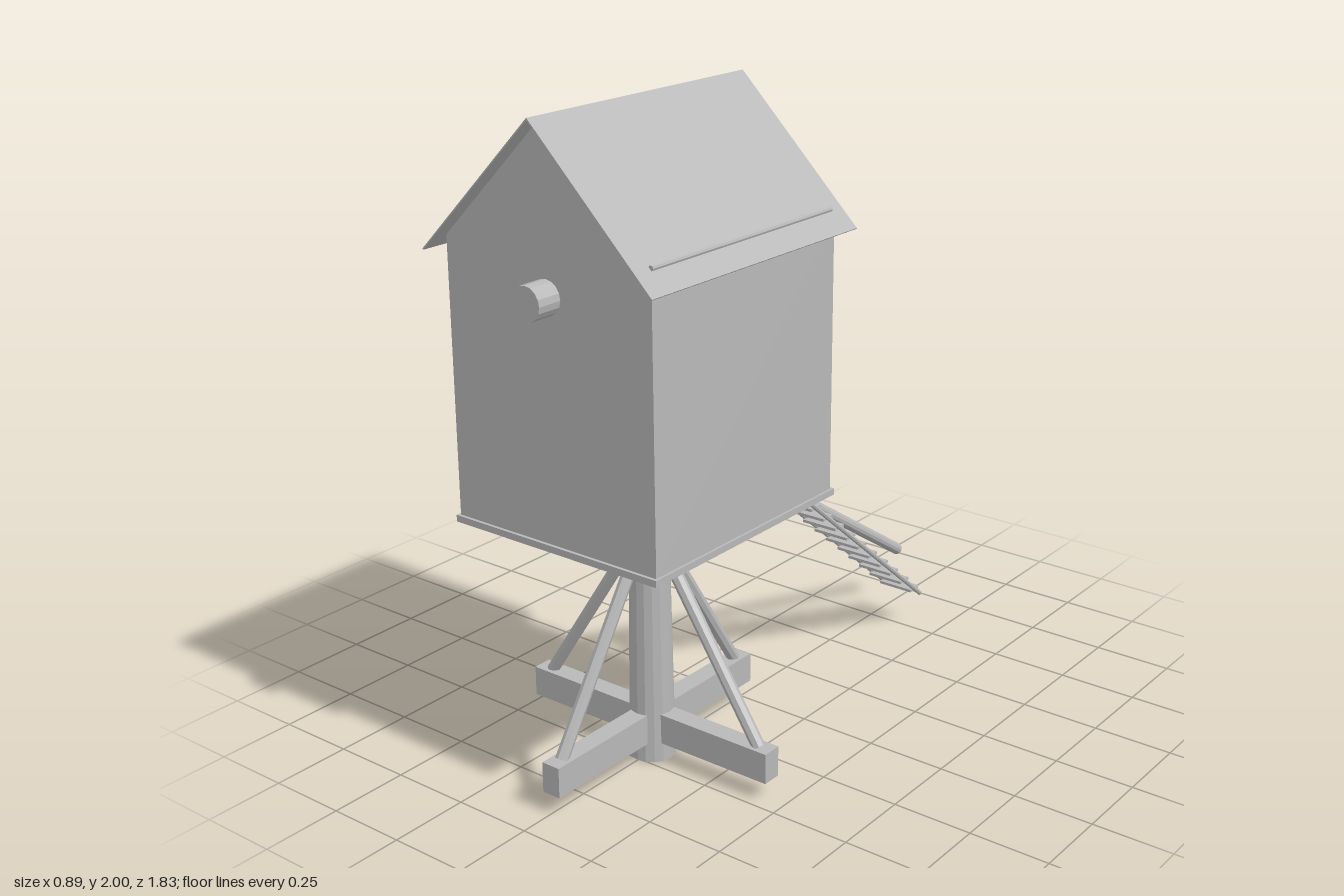
import * as THREE from 'three';

const CZ = 0.4375; // z of the post and body centre

export function createModel() {
  const group = new THREE.Group();
  const grey = new THREE.MeshStandardMaterial({ color: 0xb8b8b8, flatShading: true });
  grey.name = 'plain grey';

  const add = (name, geometry, x = 0, y = 0, z = 0) => {
    const mesh = new THREE.Mesh(geometry, grey);
    mesh.name = name;
    mesh.position.set(x, y, z);
    group.add(mesh);
    return mesh;
  };
  const box = (name, w, h, d, x, y, z) => add(name, new THREE.BoxGeometry(w, h, d), x, y, z);

  // Round bar between two points
  const bar = (name, a, b, radius, sides = 8) => {
    const from = new THREE.Vector3(...a), to = new THREE.Vector3(...b);
    const dir = to.clone().sub(from);
    const mesh = add(name, new THREE.CylinderGeometry(radius, radius, dir.length(), sides));
    mesh.position.copy(from).add(to).multiplyScalar(0.5);
    mesh.quaternion.setFromUnitVectors(new THREE.Vector3(0, 1, 0), dir.normalize());
    return mesh;
  };

  // Extrude an outline in x and y along z
  const prism = (name, points, z0, z1) => {
    const shape = new THREE.Shape(points.map(p => new THREE.Vector2(...p)));
    const geometry = new THREE.ExtrudeGeometry(shape, { depth: z1 - z0, bevelEnabled: false });
    return add(name, geometry, 0, 0, z0);
  };

  // Tapered post and crossed ground beams
  add('post', new THREE.CylinderGeometry(0.058, 0.07, 0.8, 16), 0, 0.4, CZ);
  box('crossBeamSideways', 0.895, 0.095, 0.062, 0, 0.1075, CZ);
  box('crossBeamLengthways', 0.062, 0.095, 0.895, 0, 0.1075, CZ);

  // Four slanted braces from the beams to the post
  for (const [dx, dz] of [[1, 0], [-1, 0], [0, 1], [0, -1]]) {
    bar('brace', [dx * 0.4, 0.152, CZ + dz * 0.4], [dx * 0.073, 0.655, CZ + dz * 0.073], 0.02);
  }

  // Body with gables, on its floor
  box('floor', 0.735, 0.02, 0.815, 0, 0.805, CZ);
  prism('body', [[-0.36, 0.81], [0.36, 0.81], [0.36, 1.633], [0, 1.993], [-0.36, 1.633]], 0.04, 0.835);

  // Thin roof sheets
  prism('roof', [
    [-0.403, 1.597], [-0.4, 1.594], [0, 1.994], [0.4, 1.594], [0.403, 1.597], [0, 2],
  ], -0.01, 0.885);

  // Eave rails showing through the roof
  for (const s of [-1, 1]) bar('eaveRail', [s * 0.35, 1.655, 0.045], [s * 0.35, 1.655, 0.825], 0.008);

  // Shaft stub on the front
  const shaft = add('shaft', new THREE.CylinderGeometry(0.05, 0.05, 0.095, 16), 0, 1.52, 0.8675);
  shaft.rotation.x = Math.PI / 2;

  // Back door with hinges and knob
  box('door', 0.13, 0.32, 0.006, 0.095, 0.98, 0.038);
  for (const y of [0.86, 1.09]) box('hinge', 0.1, 0.01, 0.004, 0.115, y, 0.034);
  add('knob', new THREE.SphereGeometry(0.006, 8, 6), 0.045, 0.97, 0.032);

  // Tail pole
  bar('tailPole', [0, 0.81, 0.045], [0, 0.195, -0.904], 0.02, 12);

  // Ladder with flat treads
  for (const x of [0.032, 0.164]) bar('ladderRail', [x, 0.81, 0.04], [x, 0.11, -0.8], 0.008);
  for (let i = 0; i < 12; i++) {
    box('tread', 0.125, 0.009, 0.05, 0.098, 0.135 + i * 0.055, -0.77 + i * 0.066);
  }

  return group;
}
